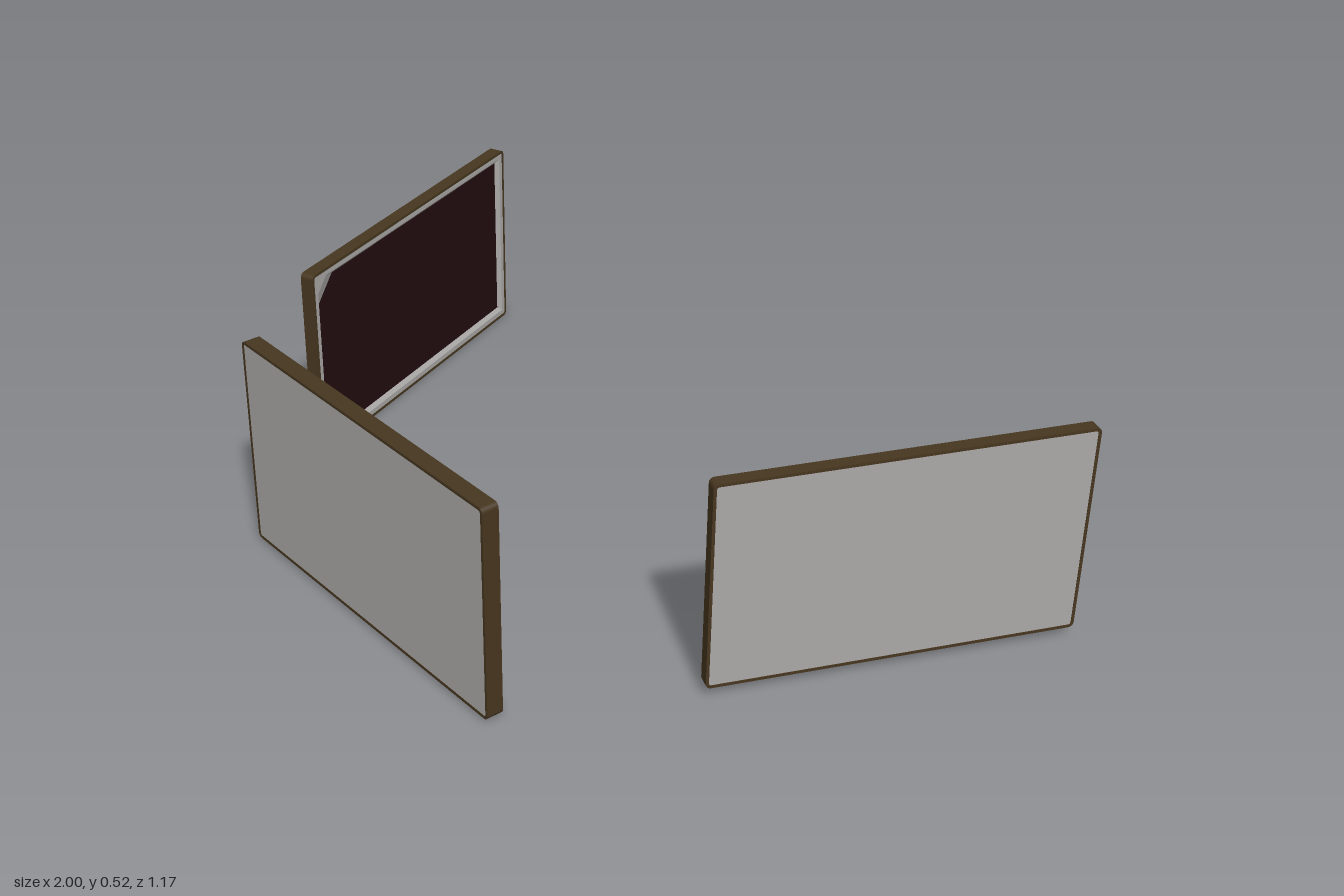
import * as THREE from 'three';

const mat = (name, color, extra = {}) => new THREE.MeshStandardMaterial({ name, color, ...extra });

// Rectangle with rounded corners, centred on the origin
function roundedRect(w, h, r, Type = THREE.Shape) {
  const s = new Type(), x = w / 2, y = h / 2;
  s.moveTo(-x + r, -y);
  s.lineTo(x - r, -y);
  s.absarc(x - r, -y + r, r, -Math.PI / 2, 0);
  s.absarc(x - r, y - r, r, 0, Math.PI / 2);
  s.absarc(-x + r, y - r, r, Math.PI / 2, Math.PI);
  s.absarc(-x + r, -y + r, r, Math.PI, Math.PI * 1.5);
  return s;
}

// Five-point outline with the upper +x corner cut off
function cutOutline(w, h, cut) {
  const x = w / 2, y = h / 2;
  return [[-x, -y], [x, -y], [x, y - cut], [x - cut, y], [-x, y]];
}

// Facets joining successive outlines, facing -z
function loft(loops) {
  const p = [];
  for (let k = 0; k < loops.length - 1; k++) {
    const a = loops[k], b = loops[k + 1];
    for (let i = 0; i < 5; i++) {
      const j = (i + 1) % 5;
      p.push(...a[i], ...b[i], ...a[j], ...a[j], ...b[i], ...b[j]);
    }
  }
  const g = new THREE.BufferGeometry();
  g.setAttribute('position', new THREE.Float32BufferAttribute(p, 3));
  g.computeVertexNormals();
  return g;
}

export function createModel() {
  const brown = mat('dark brown casing', 0x46361f);
  const grey = mat('grey face', 0xaaa8a6);
  const greyFrame = grey;
  const dark = mat('dark red panel', 0x230c0e, { side: THREE.DoubleSide });
  const model = new THREE.Group();
  model.name = 'panels';

  // One board: outer face at +z, framed inner face at -z
  function board(name, w, h, t, x, y, z, angle) {
    const g = new THREE.Group();
    g.name = name;
    const add = (part, geo, m) => {
      const mesh = new THREE.Mesh(geo, m);
      mesh.name = part;
      g.add(mesh);
      return mesh;
    };
    const rim = 0.007, wi = w - 2 * rim, hi = h - 2 * rim;

    // Brown rim around the edge
    const ring = roundedRect(w, h, 0.012);
    ring.holes.push(roundedRect(wi, hi, 0.006, THREE.Path));
    const casing = new THREE.ExtrudeGeometry(ring, { depth: t, bevelEnabled: false, curveSegments: 4 });
    add('casing', casing.translate(0, 0, -t / 2), brown);

    // Plain outer face
    const face = add('outerFace', new THREE.ShapeGeometry(roundedRect(wi, hi, 0.006), 4), grey);
    face.position.z = t / 2 - 0.001;

    // Flat lip and slope down to the recessed panel
    const at = (margin, cut, depth) =>
      cutOutline(w - 2 * margin, h - 2 * margin, cut).map(([a, b]) => [a, b, -t / 2 + depth]);
    add('innerFrame', loft([at(rim, 0.003, 0.001), at(0.02, 0.035, 0.001), at(0.03, 0.06, 0.01)]), greyFrame);

    // Dark recessed panel with one cut corner
    const outline = cutOutline(w - 0.06, h - 0.06, 0.06).map(([a, b]) => new THREE.Vector2(a, b));
    const panel = add('innerPanel', new THREE.ShapeGeometry(new THREE.Shape(outline)), dark);
    panel.position.z = -t / 2 + 0.01;

    g.position.set(x, y, z);
    g.rotation.y = angle;
    model.add(g);
  }

  board('frontBoard', 0.88, 0.515, 0.04, -0.022, 0.265, 0.552, -0.024);
  board('rightBoard', 0.865, 0.49, 0.034, -0.838, 0.245, -0.168, -1.222);
  board('leftBoard', 0.836, 0.5, 0.03, 0.807, 0.275, -0.2, 1.134);
  return model;
}
